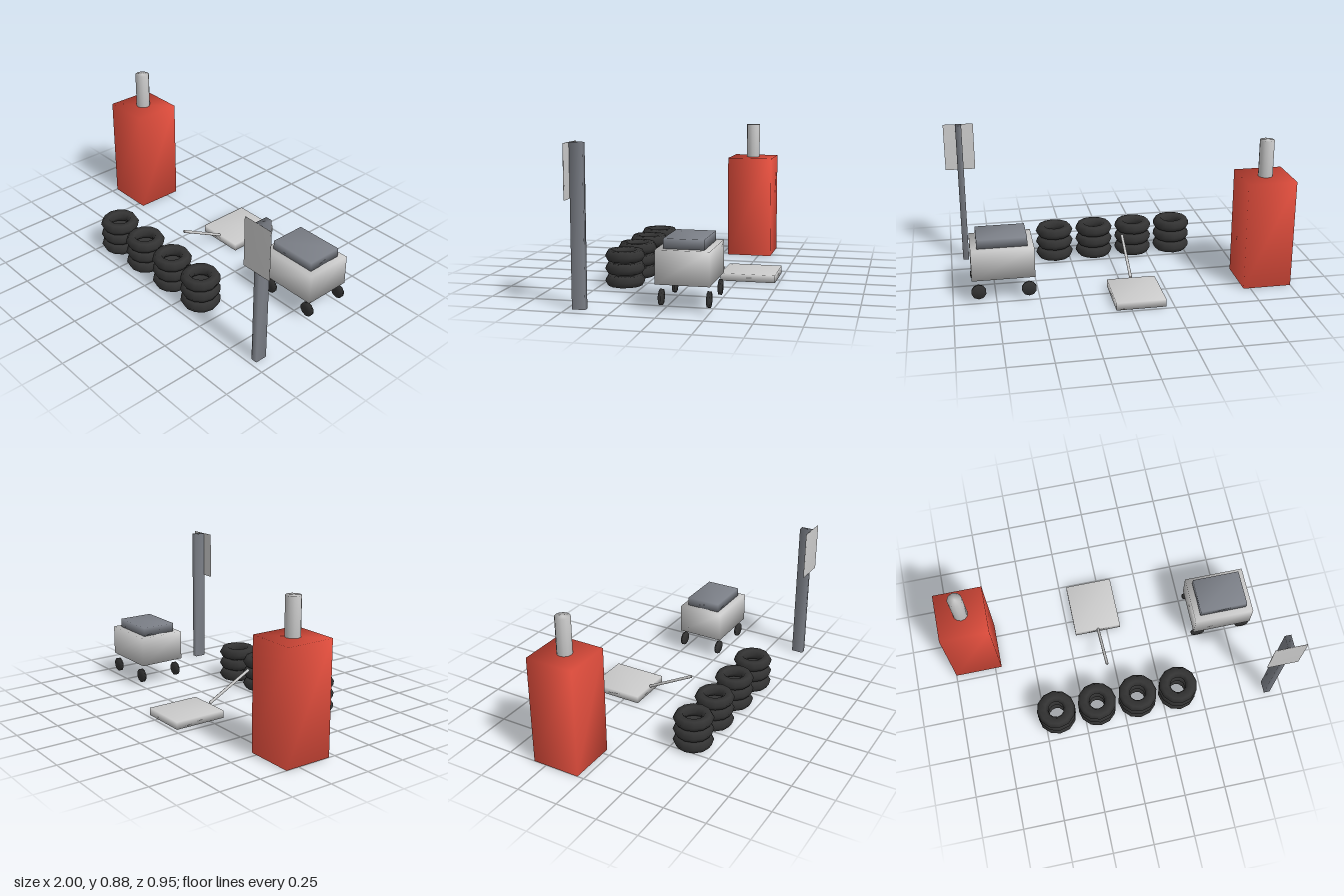
import * as THREE from 'three';
import { mergeVertices } from 'three/addons/utils/BufferGeometryUtils.js';

const mat = (color) => new THREE.MeshStandardMaterial({ color });
const grey = mat(0xcccccc), steel = mat(0x7c8088), red = mat(0xe8503f), rubber = mat(0x333333);

// Shared corners give the soft shading used on every part
function soften(geometry) {
  geometry.deleteAttribute('uv');
  geometry.deleteAttribute('normal');
  const merged = mergeVertices(geometry, 1e-4);
  merged.computeVertexNormals();
  return merged;
}

function add(parent, name, geometry, material, x, y, z) {
  const mesh = new THREE.Mesh(geometry, material);
  mesh.name = name;
  mesh.position.set(x, y, z);
  parent.add(mesh);
  return mesh;
}

// Box given by its lower and upper limits
function box(parent, name, material, [x0, x1], [y0, y1], [z0, z1]) {
  const geometry = soften(new THREE.BoxGeometry(x1 - x0, y1 - y0, z1 - z0));
  return add(parent, name, geometry, material, (x0 + x1) / 2, (y0 + y1) / 2, (z0 + z1) / 2);
}

function group(parent, name) {
  const g = new THREE.Group();
  g.name = name;
  parent.add(g);
  return g;
}

export function createModel() {
  const model = new THREE.Group();
  model.name = 'workshopEquipment';

  // Tall red cabinet with a pipe on top
  const cabinet = group(model, 'cabinet');
  box(cabinet, 'cabinetBody', red, [-1, -0.709], [0, 0.656], [-0.331, -0.041]);
  add(cabinet, 'pipe', soften(new THREE.CylinderGeometry(0.0435, 0.0435, 0.219, 12)), grey, -0.855, 0.7655, -0.186);

  // Four stacks of three tyres
  const tyreGeometry = soften(new THREE.TorusGeometry(0.083, 0.035, 6, 12).rotateX(Math.PI / 2));
  for (let s = 0; s < 4; s++) {
    const stack = group(model, 'tyreStack');
    for (let i = 0; i < 3; i++) {
      add(stack, 'tyre', tyreGeometry, rubber, -0.42 + s * 0.2545, 0.038 + i * 0.0725, 0.357);
    }
  }

  // Low floor jack with a sloping handle
  const jack = group(model, 'floorJack');
  box(jack, 'jackBase', grey, [-0.203, 0.088], [0, 0.045], [-0.478, -0.152]);
  const low = new THREE.Vector3(-0.057, 0.047, -0.149);
  const high = new THREE.Vector3(-0.057, 0.201, 0.141);
  const along = high.clone().sub(low);
  const mid = low.clone().add(high).multiplyScalar(0.5);
  const rod = soften(new THREE.CylinderGeometry(0.009, 0.009, along.length(), 8));
  const handle = add(jack, 'jackHandle', rod, grey, mid.x, mid.y, mid.z);
  handle.quaternion.setFromUnitVectors(new THREE.Vector3(0, 1, 0), along.normalize());

  // Trolley on four wheels
  const trolley = group(model, 'trolley');
  box(trolley, 'trolleyBody', grey, [0.524, 0.888], [0.147, 0.329], [-0.259, 0.031]);
  box(trolley, 'trolleyTop', steel, [0.561, 0.851], [0.329, 0.383], [-0.223, -0.005]);
  const wheel = soften(new THREE.CylinderGeometry(0.0435, 0.0435, 0.0165, 10).rotateX(Math.PI / 2));
  for (const x of [0.561, 0.851]) {
    for (const z of [-0.249, 0.005]) add(trolley, 'wheel', wheel, rubber, x, 0.074, z);
  }

  // Sign post with a thin board at its top
  const sign = group(model, 'sign');
  box(sign, 'signPost', steel, [0.889, 0.926], [0, 0.875], [0.397, 0.469]);
  box(sign, 'signBoard', grey, [0.817, 1], [0.584, 0.875], [0.469, 0.475]);

  return model;
}
